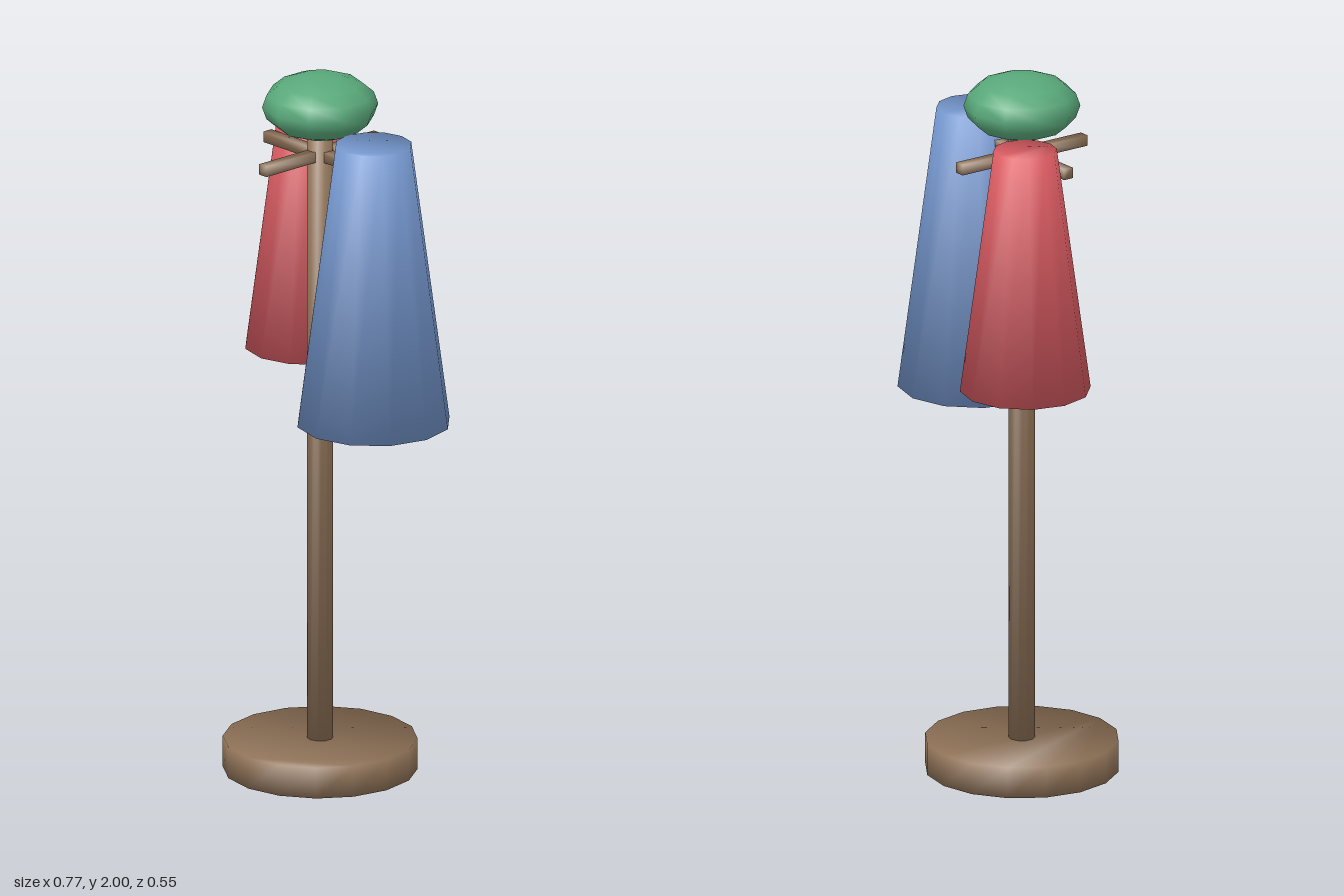
import * as THREE from 'three';

// Closed frustum standing on y = 0, with normals blended softly over the rims
function softFrustum(rBottom, rTop, height, sides, phase = 0) {
  const pos = [], nor = [], idx = [];
  const slope = Math.atan2(rBottom - rTop, height);
  const capWeight = 1 - 2 / sides;
  const out = Math.cos(slope) * Math.cos(Math.PI / sides);
  for (const [r, y, dir] of [[rBottom, 0, -1], [rTop, height, 1]]) {
    for (let i = 0; i < sides; i++) {
      const a = phase + (i / sides) * Math.PI * 2;
      const n = new THREE.Vector3(
        Math.sin(a) * out, Math.sin(slope) + dir * capWeight, Math.cos(a) * out
      ).normalize();
      pos.push(Math.sin(a) * r, y, Math.cos(a) * r);
      nor.push(n.x, n.y, n.z);
    }
  }
  for (let i = 0; i < sides; i++) {
    const j = (i + 1) % sides;
    idx.push(i, j, sides + j, i, sides + j, sides + i);
    if (i > 0 && j > 0) {
      idx.push(0, j, i);
      idx.push(sides, sides + i, sides + j);
    }
  }
  const g = new THREE.BufferGeometry();
  g.setAttribute('position', new THREE.Float32BufferAttribute(pos, 3));
  g.setAttribute('normal', new THREE.Float32BufferAttribute(nor, 3));
  g.setIndex(idx);
  return g;
}

function material(name, color) {
  const m = new THREE.MeshStandardMaterial({ color });
  m.name = name;
  return m;
}

export function createModel() {
  const wood = material('brown wood', 0x8f7257);
  const red = material('red cloth', 0xd95b62);
  const blue = material('blue cloth', 0x7496cd);
  const green = material('green felt', 0x59a87a);

  const model = new THREE.Group();
  model.name = 'coatStand';
  const add = (name, geometry, mat, x, y, z, parent = model) => {
    const mesh = new THREE.Mesh(geometry, mat);
    mesh.name = name;
    mesh.position.set(x, y, z);
    parent.add(mesh);
    return mesh;
  };

  const cx = -0.045, cz = 0.01;

  // Stand
  add('base', softFrustum(0.267, 0.267, 0.088, 16), wood, cx, 0, cz);
  add('pole', softFrustum(0.036, 0.036, 1.8, 10), wood, cx, 0.05, cz);

  // Four square pegs around the pole
  const pegs = new THREE.Group();
  pegs.name = 'pegs';
  pegs.position.set(cx, 1.77, cz);
  model.add(pegs);
  const pegGeometry = softFrustum(0.0212, 0.0212, 0.213, 4, Math.PI / 4);
  for (let i = 0; i < 4; i++) {
    const arm = new THREE.Group();
    arm.rotation.y = (i * Math.PI) / 2;
    pegs.add(arm);
    add('peg', pegGeometry, wood, 0, 0, 0, arm).rotation.z = -Math.PI / 2;
  }

  // Hanging coats
  add('blueCoat', softFrustum(0.213, 0.106, 0.8, 12), blue, 0.17, 1.05, 0.01);
  add('redCoat', softFrustum(0.18, 0.087, 0.69, 12), red, -0.205, 1.157, -0.098);

  // Hat on top of the pole
  const hat = add('hat', new THREE.SphereGeometry(0.16, 10, 8), green, cx, 1.91, cz);
  hat.rotation.y = Math.PI / 2;
  hat.scale.y = 0.09 / 0.16;

  return model;
}
